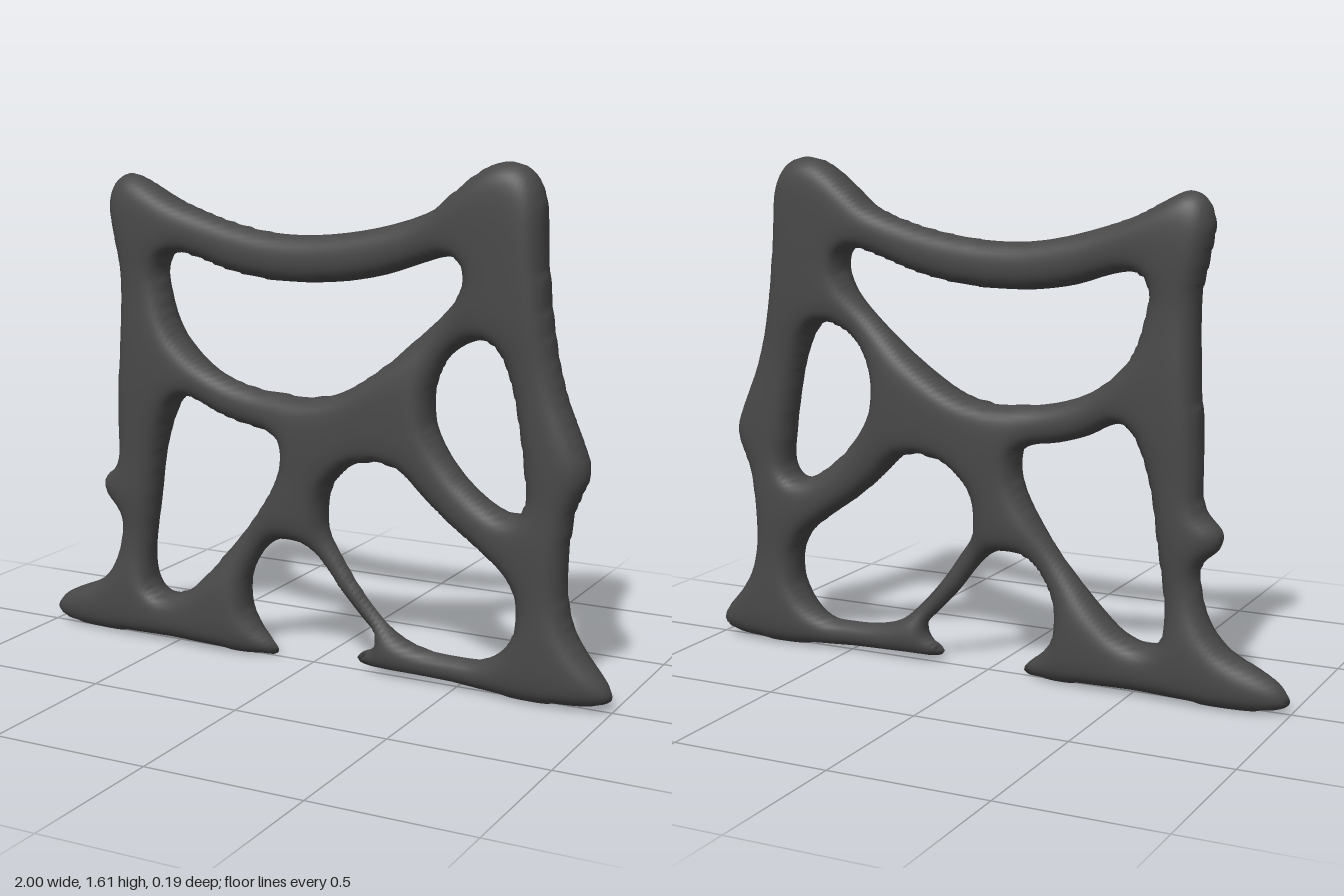
import * as THREE from 'three';

// Outlines as x, y pairs; each becomes a closed smooth curve
const outerEdge = [
  -0.73, 1.45, -0.705, 1.52, -0.655, 1.54, -0.59, 1.515, -0.52, 1.475, -0.4, 1.43, -0.2, 1.38, -0.04, 1.37,
  0.12, 1.385, 0.28, 1.42, 0.41, 1.47, 0.5, 1.545, 0.58, 1.6, 0.65, 1.615, 0.71, 1.59, 0.745, 1.53,
  0.752, 1.42, 0.765, 1.25, 0.79, 1.08, 0.83, 0.92, 0.87, 0.82, 0.905, 0.715, 0.86, 0.6, 0.845, 0.5,
  0.845, 0.33, 0.87, 0.23, 0.925, 0.15, 0.985, 0.085, 1, 0.045, 0.96, 0.02, 0.7, 0.005, 0.5, 0.015,
  0.3, 0.02, 0.18, 0.025, 0.155, 0.04, 0.175, 0.065, 0.215, 0.085, 0.22, 0.125, 0.17, 0.18, 0.1, 0.255,
  0.03, 0.345, -0.02, 0.39, -0.085, 0.405, -0.15, 0.38, -0.2, 0.32, -0.235, 0.24, -0.235, 0.15, -0.2, 0.095,
  -0.14, 0.045, -0.125, 0.02, -0.15, 0.005, -0.5, 0.015, -0.75, 0.005, -0.94, 0.01, -1, 0.04, -0.97, 0.09,
  -0.9, 0.13, -0.8, 0.175, -0.74, 0.24, -0.71, 0.33, -0.705, 0.42, -0.765, 0.48, -0.775, 0.53, -0.71, 0.59,
  -0.703, 0.72, -0.685, 1.05, -0.69, 1.25, -0.715, 1.36,
];
const topWindow = [
  -0.535, 1.24, -0.52, 1.28, -0.475, 1.295, -0.41, 1.285, -0.3, 1.25, -0.18, 1.23, -0.05, 1.225, 0.1, 1.235,
  0.25, 1.265, 0.38, 1.31, 0.45, 1.33, 0.5, 1.32, 0.515, 1.27, 0.48, 1.2, 0.38, 1.1, 0.25, 0.985,
  0.13, 0.905, 0.04, 0.87, -0.08, 0.865, -0.22, 0.88, -0.34, 0.92, -0.43, 0.985, -0.49, 1.06, -0.52, 1.15,
];
const rightWindow = [
  0.58, 1.09, 0.62, 1.07, 0.66, 0.98, 0.69, 0.84, 0.71, 0.7, 0.715, 0.61, 0.695, 0.57, 0.65, 0.57,
  0.57, 0.615, 0.48, 0.7, 0.42, 0.79, 0.4, 0.87, 0.415, 0.95, 0.46, 1.03, 0.52, 1.075,
];
const leftWindow = [
  -0.5, 0.79, -0.47, 0.83, -0.42, 0.83, -0.34, 0.79, -0.24, 0.76, -0.15, 0.745, -0.11, 0.72, -0.1, 0.67,
  -0.13, 0.58, -0.2, 0.47, -0.32, 0.32, -0.4, 0.23, -0.46, 0.18, -0.54, 0.155, -0.585, 0.175, -0.6, 0.23,
  -0.59, 0.35, -0.57, 0.48, -0.545, 0.65,
];
const lowerWindow = [
  0.04, 0.5, 0.05, 0.57, 0.09, 0.63, 0.16, 0.675, 0.24, 0.685, 0.31, 0.67, 0.37, 0.61, 0.46, 0.53,
  0.58, 0.445, 0.66, 0.38, 0.695, 0.31, 0.695, 0.22, 0.655, 0.15, 0.59, 0.105, 0.5, 0.1, 0.4, 0.105,
  0.31, 0.13, 0.24, 0.19, 0.16, 0.28, 0.09, 0.38, 0.05, 0.44,
];

function smoothLoop(xy) {
  const pts = [];
  for (let i = 0; i < xy.length; i += 2) pts.push(new THREE.Vector3(xy[i], xy[i + 1], 0));
  return new THREE.CatmullRomCurve3(pts, true).getPoints(pts.length * 3);
}

// Signed distance to the outlines, positive inside the material
function signedDistance(loops, x, y) {
  let best = Infinity, inside = false;
  for (const loop of loops) {
    for (let i = 0; i + 1 < loop.length; i++) {
      const a = loop[i], b = loop[i + 1], ex = b.x - a.x, ey = b.y - a.y;
      const t = THREE.MathUtils.clamp(((x - a.x) * ex + (y - a.y) * ey) / (ex * ex + ey * ey + 1e-12), 0, 1);
      best = Math.min(best, (x - a.x - t * ex) ** 2 + (y - a.y - t * ey) ** 2);
      if ((a.y > y) !== (b.y > y) && x < a.x + ((y - a.y) / ey) * ex) inside = !inside;
    }
  }
  return (inside ? 1 : -1) * Math.sqrt(best);
}

// Slight fore and aft bowing of the two columns and the left foot
function midDepth(x, y) {
  const bump = (cx, cy, sx, sy) => Math.exp(-(((x - cx) / sx) ** 2) - ((y - cy) / sy) ** 2);
  return 0.018 * bump(-0.6, 0.8, 0.25, 0.5) - 0.018 * bump(0.85, 0.75, 0.2, 0.35) - 0.014 * bump(-0.85, 0.05, 0.3, 0.15);
}

// Inflates the outline: thickness is round on narrow struts and levels off at the junctions
function inflate(loops) {
  const step = 0.0121, x0 = -1.03, y0 = -0.03, nx = 172, ny = 140, count = nx * ny;
  const dist = new Float64Array(count), f = new Float64Array(count);
  for (let k = 0; k < count; k++) {
    dist[k] = signedDistance(loops, x0 + (k % nx) * step, y0 + Math.floor(k / nx) * step);
    f[k] = dist[k] > 0 ? 0 : 0.12 * dist[k];
  }
  // Relax the squared half thickness so a strut of half width w gets a circular section
  for (let pass = 0; pass < 300; pass++) {
    for (let k = nx; k < count - nx; k++) {
      if (dist[k] > 0) f[k] = (f[k - 1] + f[k + 1] + f[k - nx] + f[k + nx] + 2 * step * step) / 4;
    }
  }
  for (let k = 0; k < count; k++) {
    if (dist[k] > 0) f[k] = Math.max(f[k], 1e-6) / Math.hypot(1, f[k] / 0.0075);
  }

  const pos = [], nor = [], index = [], cache = new Map();
  const slope = (k) => [(f[k + 1] - f[k - 1]) / (2 * step), (f[k + nx] - f[k - nx]) / (2 * step)];
  const normal = new THREE.Vector3();
  function addVertex(key, x, y, z, g) {
    cache.set(key, pos.length / 3);
    normal.set(-g[0], -g[1], 2 * z).normalize();
    pos.push(x, y, z + midDepth(x, y));
    nor.push(normal.x, normal.y, normal.z);
  }
  // Grid vertex on one side of the body
  function gridVertex(k, side) {
    const key = k + ':' + side;
    if (!cache.has(key)) {
      addVertex(key, x0 + (k % nx) * step, y0 + Math.floor(k / nx) * step, side * Math.sqrt(f[k]), slope(k));
    }
    return cache.get(key);
  }
  // Rim vertex where a grid edge crosses the outline, shared by both sides
  function rimVertex(p, q) {
    const a = Math.min(p, q), b = Math.max(p, q), key = a + '-' + b;
    if (!cache.has(key)) {
      const t = dist[a] / (dist[a] - dist[b]), ga = slope(a), gb = slope(b);
      const x = x0 + ((a % nx) + (b - a === 1 ? t : 0)) * step;
      const y = y0 + (Math.floor(a / nx) + (b - a === 1 ? 0 : t)) * step;
      addVertex(key, x, y, 0, [ga[0] + t * (gb[0] - ga[0]), ga[1] + t * (gb[1] - ga[1])]);
    }
    return cache.get(key);
  }
  // Clip every grid cell to the outline and fan it, front and back
  for (let j = 1; j < ny - 2; j++) {
    for (let i = 1; i < nx - 2; i++) {
      const k = j * nx + i, corners = [k, k + 1, k + nx + 1, k + nx];
      if (corners.every((c) => dist[c] <= 0)) continue;
      for (const side of [1, -1]) {
        const poly = [];
        corners.forEach((c, n) => {
          const next = corners[(n + 1) % 4];
          if (dist[c] > 0) poly.push(gridVertex(c, side));
          if ((dist[c] > 0) !== (dist[next] > 0)) poly.push(rimVertex(c, next));
        });
        if (side < 0) poly.reverse();
        for (let n = 1; n + 1 < poly.length; n++) index.push(poly[0], poly[n], poly[n + 1]);
      }
    }
  }
  const geometry = new THREE.BufferGeometry();
  geometry.setAttribute('position', new THREE.Float32BufferAttribute(pos, 3));
  geometry.setAttribute('normal', new THREE.Float32BufferAttribute(nor, 3));
  geometry.setIndex(index);
  return geometry;
}

export function createModel() {
  const group = new THREE.Group();
  group.name = 'organicFrame';
  const loops = [outerEdge, topWindow, rightWindow, leftWindow, lowerWindow].map(smoothLoop);
  const frame = new THREE.Mesh(inflate(loops), new THREE.MeshStandardMaterial({ color: 0x484848 }));
  frame.name = 'strutFrame';
  group.add(frame);
  return group;
}
